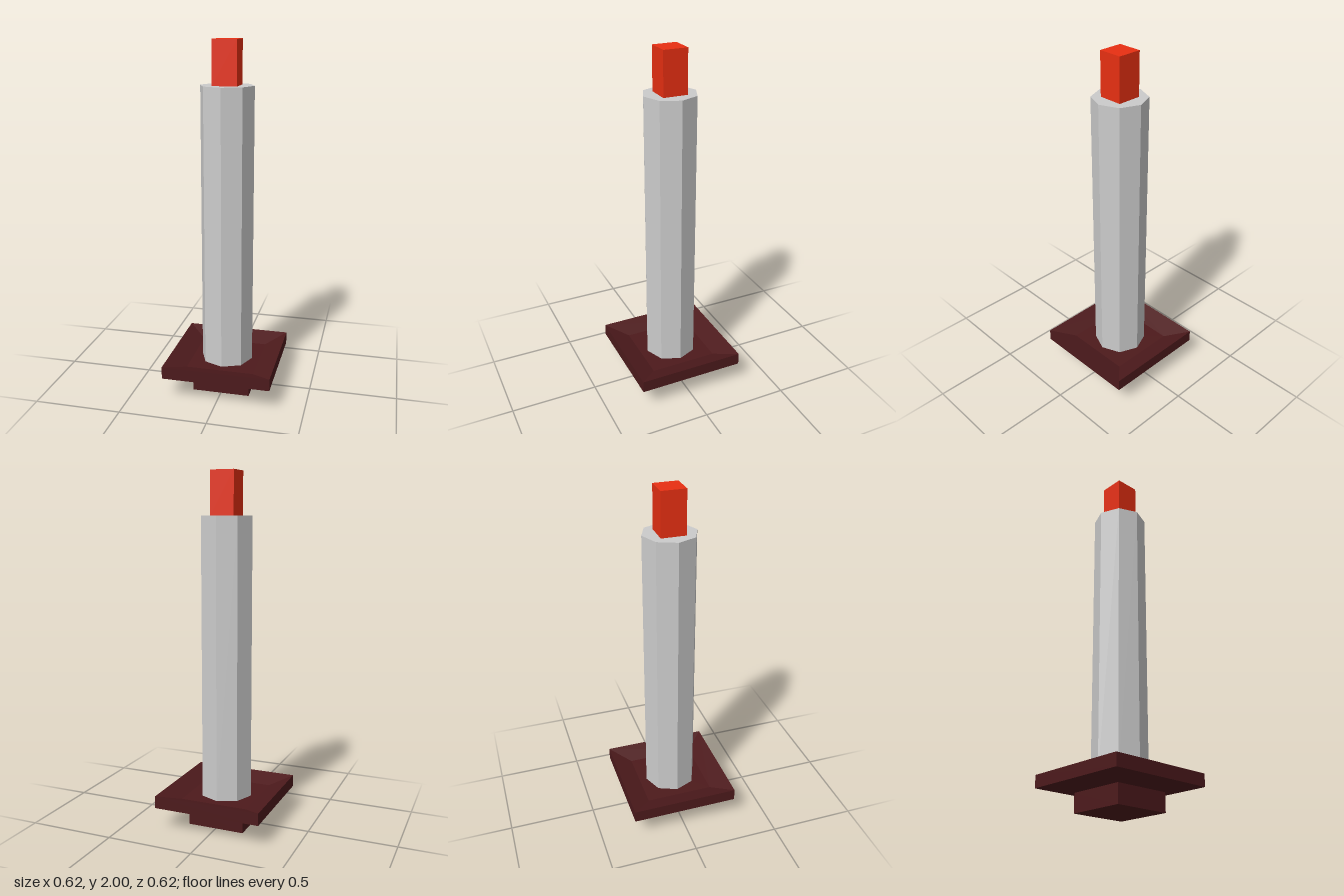
import * as THREE from 'three';

export function createModel() {
  const model = new THREE.Group();

  const add = (name, geometry, color, y) => {
    const material = new THREE.MeshStandardMaterial({ color, flatShading: true });
    const mesh = new THREE.Mesh(geometry, material);
    mesh.name = name;
    mesh.position.y = y;
    model.add(mesh);
  };

  // Square holder: foot, flared underside, rim and sunken dish (half-width, height)
  const profile = [
    [0, 0], [0.165, 0], [0.165, 0.105], [0.31, 0.13],
    [0.31, 0.2], [0.195, 0.16], [0, 0.16],
  ].map(([half, y]) => new THREE.Vector2(half * Math.SQRT2, y));
  add('holder', new THREE.LatheGeometry(profile, 4, Math.PI / 4), 0x4d1a1c, 0);

  // Octagonal candle standing in the dish
  const bottom = 0.16, top = 1.757;
  add('candle', new THREE.CylinderGeometry(0.151, 0.151, top - bottom, 8), 0xcccccc, (bottom + top) / 2);

  // Square flame on top
  add('flame', new THREE.BoxGeometry(0.138, 2 - top, 0.138), 0xe82f12, (2 + top) / 2);

  return model;
}
